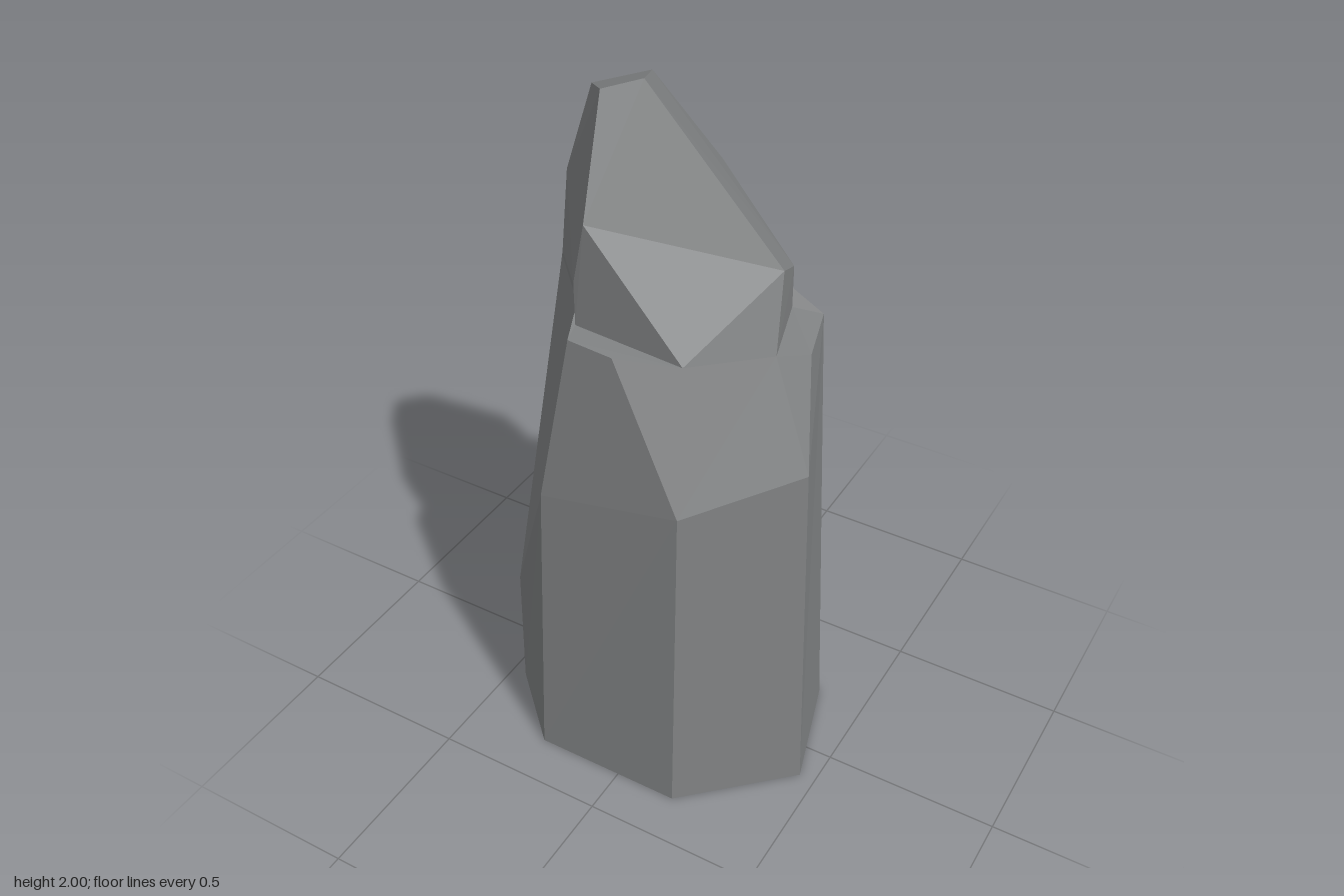
import * as THREE from 'three';

// Cross-sections run from the right (-x) side, past the front, round to the back.
const base = [[-.455, 0, .17], [-.255, 0, .363], [.18, 0, .363], [.453, 0, .103],
  [.355, 0, -.222], [-.035, 0, -.367], [-.347, 0, -.253]];
const chest = [[-.45, .4, .165], [-.228, .92, .335], [.178, 1, .328], [.417, 1.07, .088],
  [.305, 1.36, -.19], [-.022, 1.4, -.31], [-.31, 1.4, -.205]];

// The broken top needs two extra columns, so two chest corners are doubled.
const chestWide = [0, 1, 1, 2, 3, 3, 4, 5, 6].map(i => chest[i]);
const notch = [-.21, 1.42, .155], sideCorner = [.29, 1.36, .04];
const rim = [[-.36, 1.43, -.005], notch, [-.145, 1.41, .297], [-.02, 1.4, .297],
  sideCorner, [.36, 1.36, -.01], chest[4], chest[5], chest[6]];
const foot = [[-.33, 1.47, .035], notch, [-.165, 1.41, .232], [.14, 1.39, .235],
  sideCorner, sideCorner, [.235, 1.38, -.15], [-.022, 1.49, -.24], [-.278, 1.49, -.145]];

// Spire sections
const chip = [-.165, 1.53, .232], sideShoulder = [.265, 1.555, -.035];
const shoulder = [[-.315, 1.7, .02], chip, chip, [-.128, 1.7, .235],
  sideShoulder, sideShoulder, [.235, 1.5, -.15], [-.022, 1.69, -.24], [-.278, 1.69, -.145]];
const tip = [[-.253, 1.93, -.01], [-.152, 1.985, .108], [-.077, 2, .037],
  [-.143, 1.95, -.108], [-.24, 1.92, -.063]];
const tipWide = [0, 1, 1, 1, 2, 2, 2, 3, 4].map(i => tip[i]);

const same = (a, b) => a.every((v, i) => v === b[i]);

// Add one triangle unless it is collapsed
function tri(out, a, b, c) {
  if (!same(a, b) && !same(b, c) && !same(a, c)) out.push(...a, ...b, ...c);
}

// Join successive rings with flat faces
function loft(rings, out = []) {
  for (let r = 0; r + 1 < rings.length; r++) {
    const lo = rings[r], hi = rings[r + 1], n = lo.length;
    for (let i = 0; i < n; i++) {
      const j = (i + 1) % n;
      tri(out, lo[i], lo[j], hi[j]);
      tri(out, lo[i], hi[j], hi[i]);
    }
  }
  return out;
}

function facetedMesh(name, positions, material) {
  const geometry = new THREE.BufferGeometry();
  geometry.setAttribute('position', new THREE.Float32BufferAttribute(positions, 3));
  geometry.computeVertexNormals();
  const mesh = new THREE.Mesh(geometry, material);
  mesh.name = name;
  return mesh;
}

export function createModel() {
  const group = new THREE.Group();
  group.name = 'rockPillar';
  const stone = new THREE.MeshStandardMaterial({ color: 0x808283, side: THREE.DoubleSide });
  stone.name = 'greyStone';

  // Tapering seven-sided column, open underneath
  group.add(facetedMesh('column', loft([base, chest]), stone));

  // Sloping bevels and ledges around the spire
  group.add(facetedMesh('ledge', loft([chestWide, rim, foot]), stone));

  // Leaning spire with a slanted cap
  const spire = loft([foot, shoulder, tipWide]);
  for (let i = 1; i + 1 < tip.length; i++) tri(spire, tip[0], tip[i], tip[i + 1]);
  group.add(facetedMesh('spire', spire, stone));

  return group;
}
